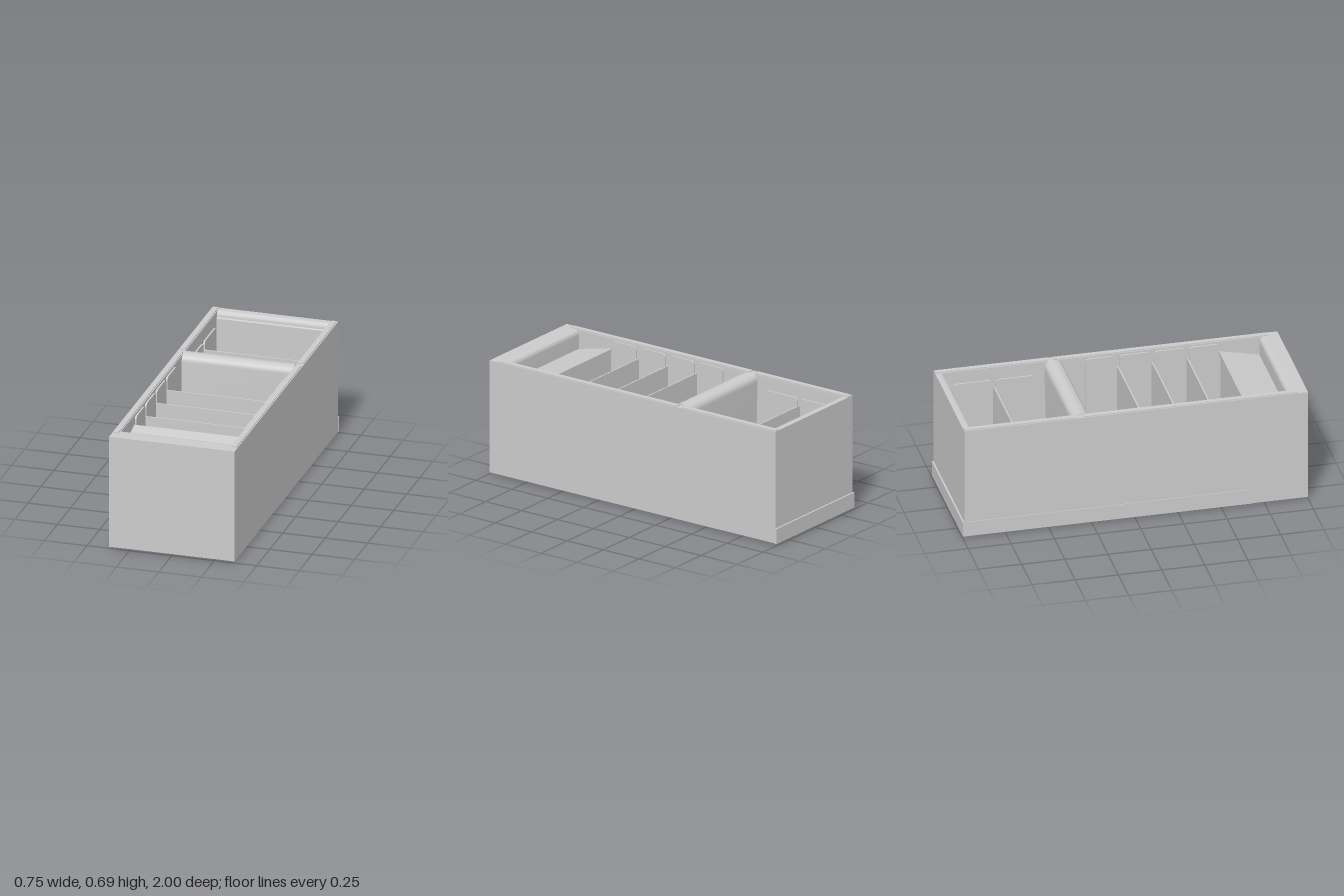
import * as THREE from 'three';
import { toCreasedNormals } from 'three/addons/utils/BufferGeometryUtils.js';

export function createModel() {
  const model = new THREE.Group();
  const mat = new THREE.MeshStandardMaterial({ color: 0xcccccc, side: THREE.DoubleSide });

  const add = (name, geo, parent = model) => {
    const m = new THREE.Mesh(geo, mat);
    m.name = name;
    parent.add(m);
    return m;
  };
  // box given by its limits on each axis
  const box = (name, x0, x1, y0, y1, z0, z1, parent) => {
    const m = add(name, new THREE.BoxGeometry(x1 - x0, y1 - y0, z1 - z0), parent);
    m.position.set((x0 + x1) / 2, (y0 + y1) / 2, (z0 + z1) / 2);
    return m;
  };
  // (z, y) profile swept across the width
  const sweep = (name, shape, x0, x1, parent) => {
    const g = new THREE.ExtrudeGeometry(shape, { depth: x1 - x0, bevelEnabled: false, curveSegments: 10 });
    g.rotateY(-Math.PI / 2).translate(x1, 0, 0);
    return add(name, toCreasedNormals(g, 0.6), parent);
  };
  const poly = (pts) => new THREE.Shape(pts.map(([z, y]) => new THREE.Vector2(z, y)));

  const X = 0.37, IN = 0.327, TOP = 0.68, FLOOR = 0.1;

  // insulated side walls with a thin sliding rail on top
  for (const s of [-1, 1]) {
    const wall = new THREE.Group();
    wall.name = s > 0 ? 'leftWall' : 'rightWall';
    model.add(wall);
    const a = Math.min(s * IN, s * X), b = Math.max(s * IN, s * X);
    box('sidePanel', a, b, 0.018, TOP, -0.99, 1, wall);
    const r0 = Math.min(s * 0.333, s * 0.364), r1 = Math.max(s * 0.333, s * 0.364);
    box('frontRail', r0, r1, TOP, 0.685, -0.3, 0.94, wall);
    box('rearRail', r0, r1, TOP, 0.685, -0.985, -0.34, wall);
  }

  // rear wall with a rounded inner lip
  const rear = new THREE.Shape();
  rear.moveTo(-0.99, 0.018);
  rear.lineTo(-0.925, 0.018);
  rear.lineTo(-0.925, 0.64);
  rear.lineTo(-0.935, 0.645);
  rear.quadraticCurveTo(-0.935, TOP, -0.965, TOP);
  rear.lineTo(-0.99, TOP);
  sweep('rearWall', rear, -IN, IN);

  // middle wall with a rounded cap
  const mid = new THREE.Shape();
  mid.moveTo(-0.345, FLOOR);
  mid.lineTo(-0.265, FLOOR);
  mid.lineTo(-0.255, 0.64);
  mid.bezierCurveTo(-0.255, 0.67, -0.275, 0.685, -0.305, 0.685);
  mid.bezierCurveTo(-0.335, 0.685, -0.36, 0.67, -0.36, 0.64);
  sweep('middleWall', mid, -IN, IN);

  // front panel and the thick rim behind it
  box('frontPanel', -IN, IN, 0.018, TOP, 0.975, 1);
  const rim = new THREE.Shape();
  rim.moveTo(0.975, 0.53);
  rim.lineTo(0.885, 0.53);
  rim.lineTo(0.885, 0.65);
  rim.quadraticCurveTo(0.885, TOP, 0.915, TOP);
  rim.lineTo(0.975, TOP);
  sweep('frontRim', rim, -IN, IN);

  // tank floor, bottom plate and kick strips
  box('tankFloor', -IN, IN, 0.018, FLOOR, -0.93, 0.67);
  box('bottomPlate', -0.372, X, 0.01, 0.02, -1, 0.68);
  box('rearKickStrip', -0.373, 0.372, 0.01, FLOOR, -1, -0.989);
  box('sideKickStrip', -0.374, -0.369, 0.01, FLOOR, -1, 0.67);
  for (const s of [-1, 1]) {
    box('bottomEdge', s * 0.355 - 0.015, s * 0.355 + 0.015, 0.01, 0.02, 0.68, 1);
  }
  box('frontBottomEdge', -0.355, 0.355, 0.01, 0.02, 0.97, 1);

  // raised step over the machine compartment, with a sloping top
  sweep('machineCover', poly([
    [0.66, 0.02], [0.68, 0.02], [0.68, 0.58], [0.9, 0.535], [0.9, 0.565],
    [0.65, 0.62], [0.65, 0.595], [0.66, 0.595],
  ]), -IN, IN);

  // cross partitions
  const partition = (z, top) => box('partition', -IN, IN, FLOOR, top, z - 0.004, z + 0.004);
  for (const z of [0.065, 0.265, 0.468]) partition(z, 0.6);
  partition(-0.652, 0.56);

  // side guards: upright sheets with rounded upper corners
  const guard = (z0, z1, top) => {
    const r = 0.025, s = new THREE.Shape();
    s.moveTo(z0, FLOOR);
    s.lineTo(z1, FLOOR);
    s.lineTo(z1, top - r);
    s.quadraticCurveTo(z1, top, z1 - r, top);
    s.lineTo(z0 + r, top);
    s.quadraticCurveTo(z0, top, z0, top - r);
    sweep('sideGuard', s, -0.325, -0.315);
    sweep('sideGuard', s, 0.315, 0.325);
  };
  [[-0.125, 0.055], [0.075, 0.255], [0.275, 0.458], [0.478, 0.65]].forEach(([a, b]) => guard(a, b, 0.67));
  [[-0.89, -0.662], [-0.642, -0.415]].forEach(([a, b]) => guard(a, b, 0.605));

  // machine compartment, open underneath
  const machine = new THREE.Group();
  machine.name = 'machineCompartment';
  model.add(machine);
  box('drainTray', -0.345, -0.16, 0, 0.06, 0.73, 0.96, machine);

  // compressor: upright domed shell
  const dome = [[0, 0.012], [0.045, 0.016], [0.08, 0.035], [0.098, 0.07], [0.1, 0.11], [0.106, 0.115],
    [0.106, 0.13], [0.1, 0.135], [0.098, 0.2], [0.075, 0.24], [0, 0.26]];
  const pot = add('compressor', new THREE.LatheGeometry(dome.map(([r, y]) => new THREE.Vector2(r, y)), 32), machine);
  pot.position.set(0.15, 0, 0.83);
  const pipe = new THREE.CatmullRomCurve3([
    [0.2, 0.2, 0.83], [0.27, 0.22, 0.85], [0.28, 0.1, 0.92], [0.15, 0.06, 0.95], [-0.05, 0.06, 0.95],
  ].map((p) => new THREE.Vector3(...p)));
  add('pipe', new THREE.TubeGeometry(pipe, 40, 0.008, 8), machine);

  // condenser block with tubes and a fan facing the compressor
  box('condenser', -0.15, -0.09, 0.06, 0.3, 0.72, 0.95, machine);
  box('fanBracket', -0.09, 0.0, 0.03, 0.04, 0.72, 0.95, machine);
  const fan = new THREE.Group();
  fan.name = 'fan';
  fan.position.set(-0.04, 0.16, 0.835);
  fan.rotation.y = Math.PI / 2;
  machine.add(fan);
  for (const r of [0.055, 0.08, 0.105]) add('guardRing', new THREE.TorusGeometry(r, 0.004, 6, 32), fan);
  add('hub', new THREE.CylinderGeometry(0.028, 0.028, 0.07, 20).rotateX(Math.PI / 2), fan);
  for (let i = 0; i < 5; i++) {
    const blade = new THREE.BoxGeometry(0.07, 0.045, 0.004).rotateX(0.5).translate(0.055, 0, -0.02);
    add('blade', blade.rotateZ((i * Math.PI * 2) / 5), fan);
  }
  return model;
}
